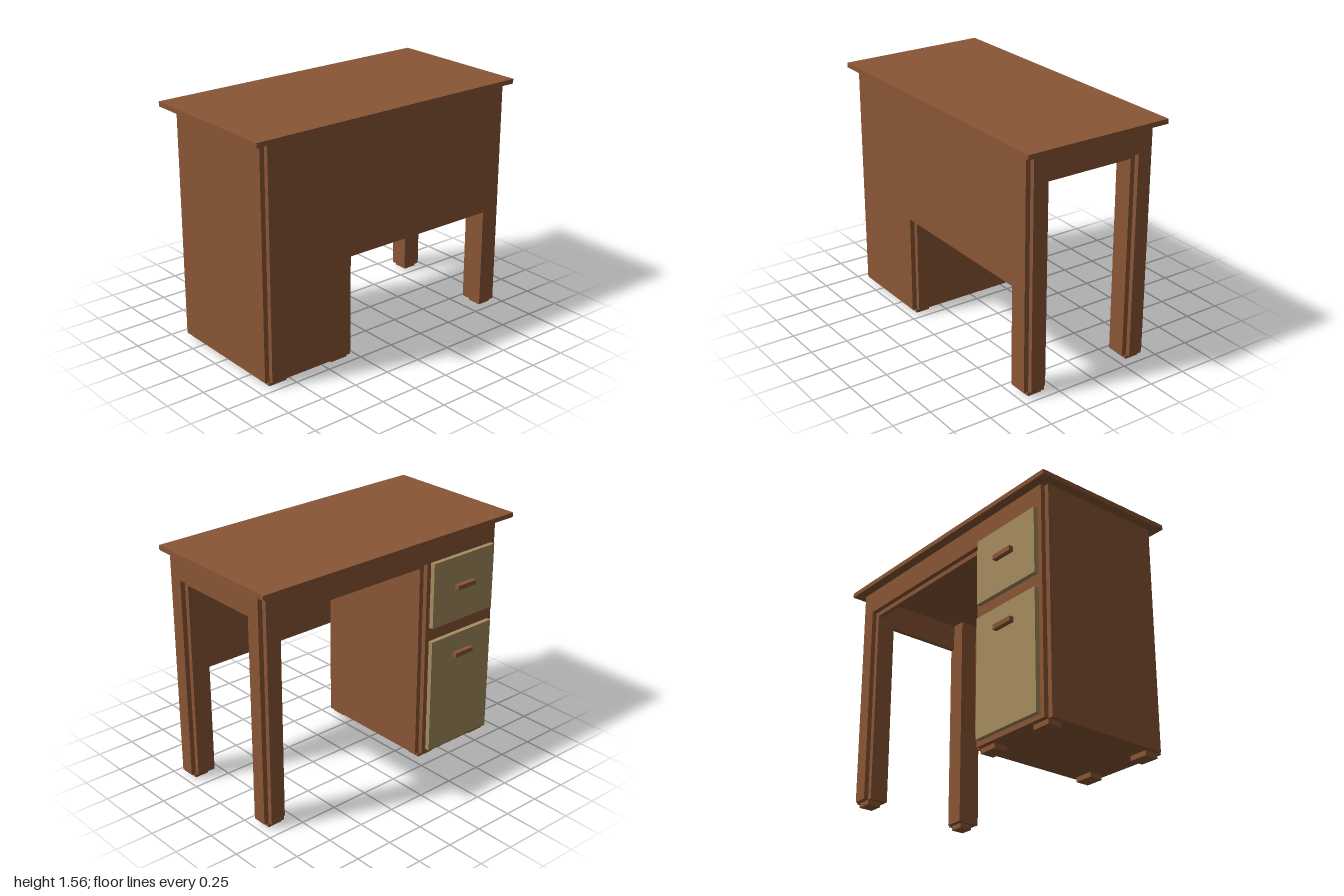
import * as THREE from 'three';

// All dimensions below are in units of 1/32.
const U = 1 / 32;

export function createModel() {
  const wood = new THREE.MeshStandardMaterial({ color: 0x8a5635 });
  wood.name = 'brown wood';
  const pale = new THREE.MeshStandardMaterial({ color: 0xa68d5e });
  pale.name = 'pale drawer wood';

  const desk = new THREE.Group();
  desk.name = 'desk';

  // Box from its lower and upper limits on each axis
  function block(parent, name, [x0, x1], [y0, y1], [z0, z1], material = wood) {
    const geometry = new THREE.BoxGeometry((x1 - x0) * U, (y1 - y0) * U, (z1 - z0) * U);
    const mesh = new THREE.Mesh(geometry, material);
    mesh.name = name;
    mesh.position.set((x0 + x1) / 2 * U, (y0 + y1) / 2 * U, (z0 + z1) / 2 * U);
    parent.add(mesh);
  }
  function group(name) {
    const g = new THREE.Group();
    g.name = name;
    desk.add(g);
    return g;
  }

  block(desk, 'tabletop', [-16, 16], [49, 50], [-32, 32]);

  // Drawer pedestal: core with raised face panels that leave notched corners
  const pedestal = group('pedestal');
  block(pedestal, 'pedestalCore', [-13, 14], [1, 49], [10, 29]);
  block(pedestal, 'pedestalFrontPanel', [-13, 14], [1, 49], [29, 30]);
  block(pedestal, 'pedestalInnerPanel', [-13, 14], [1, 49], [9, 10]);
  block(pedestal, 'pedestalDrawerFrame', [-14, -13], [1, 49], [10, 29]);
  block(pedestal, 'pedestalSidePanel', [14, 15], [1, 49], [10, 29]);
  for (const x of [[-13, -10], [11, 14]])
    for (const z of [[10, 14], [25, 29]]) block(pedestal, 'pedestalFoot', x, [0, 1], z);

  // Drawers with block handles
  for (const [y, handleY] of [[[30, 44], [37, 38]], [[2, 27], [22, 23]]]) {
    const drawer = group('drawer');
    block(drawer, 'drawerFront', [-15, -14], y, [11, 28], pale);
    block(drawer, 'drawerHandle', [-16, -15], handleY, [17, 22]);
  }

  // Back legs
  for (const side of [-1, 1]) {
    const leg = group(side > 0 ? 'leftBackLeg' : 'rightBackLeg');
    const plate = side > 0 ? [11, 14] : [-13, -10];
    block(leg, 'legCore', side > 0 ? [10, 14] : [-13, -9], [1, 49], [-30, -26]);
    block(leg, 'legBackPlate', plate, [1, 49], [-31, -30]);
    block(leg, 'legSidePlate', side > 0 ? [14, 15] : [-14, -13], [1, 49], [-30, side > 0 ? -26 : -27]);
    block(leg, 'legFoot', plate, [0, 1], [-30, -27]);
  }

  // Panel closing the far side of the knee space
  block(desk, 'modestyPanel', [14, 15], [22, 49], [-26, 10]);

  // Stepped rails under the top
  block(desk, 'backRail', [-10, 11], [44, 49], [-31, -30]);
  block(desk, 'backInnerRail', [-9, 10], [43, 49], [-30, -29]);
  block(desk, 'sideRail', [-14, -13], [44, 49], [-27, 10]);
  block(desk, 'sideInnerRail', [-13, -12], [43, 49], [-26, 9]);

  return desk;
}
